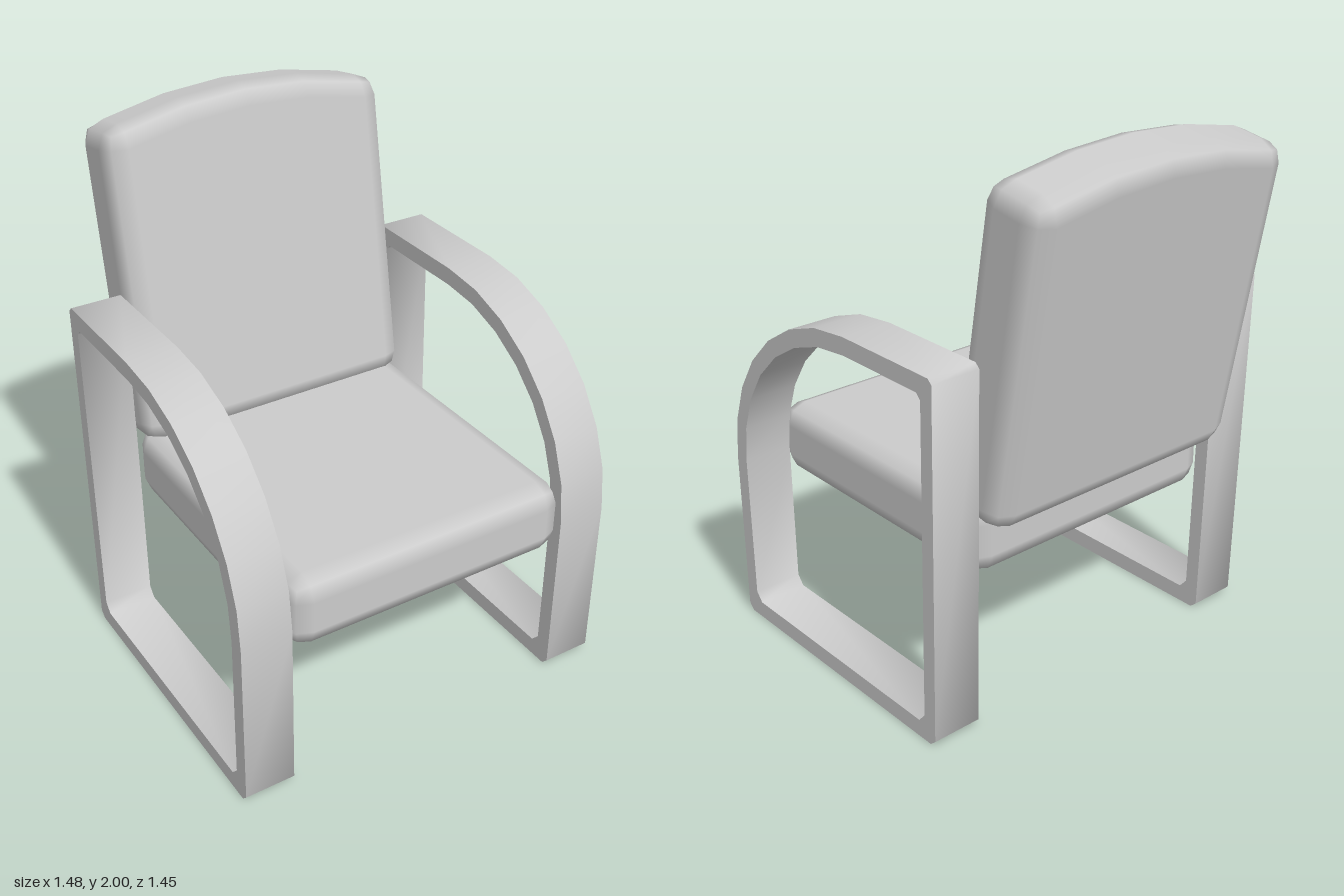
import * as THREE from 'three';
import { toCreasedNormals } from 'three/addons/utils/BufferGeometryUtils.js';

const material = new THREE.MeshStandardMaterial({ color: 0xcccccc });

// Padded block with rounded edges; crown lowers the top towards both sides.
function cushion(name, w, h, d, r, crown = 0) {
  const geo = new THREE.BoxGeometry(2, 2, 2, 6, 6, 6);
  const pos = geo.attributes.position, nor = geo.attributes.normal;
  // The inner two thirds of the grid span the flat core, the rest the rounding
  const inner = (t) => THREE.MathUtils.clamp(t * 1.5, -1, 1);
  const core = (t, size) => inner(t) * (size / 2 - r);
  const edge = (t) => Math.sign(t) * Math.tan(Math.max(0, Math.abs(t) * 3 - 2) * Math.PI / 4);
  const t = new THREE.Vector3(), p = new THREE.Vector3(), n = new THREE.Vector3();
  for (let i = 0; i < pos.count; i++) {
    t.fromBufferAttribute(pos, i);
    n.set(edge(t.x), edge(t.y), edge(t.z)).normalize();
    p.set(core(t.x, w), core(t.y, h), core(t.z, d));
    const lift = (inner(t.y) + 1) / 2;
    const slope = 2 * crown * p.x * lift;
    p.y -= crown * p.x * p.x * lift;
    p.addScaledVector(n, r);
    n.x += slope * n.y;
    n.normalize();
    pos.setXYZ(i, p.x, p.y, p.z);
    nor.setXYZ(i, n.x, n.y, n.z);
  }
  const mesh = new THREE.Mesh(geo, material);
  mesh.name = name;
  return mesh;
}

// Closed outline in (z, y), counter-clockwise: straight corners plus the quarter sweep at the front.
function loopPoints(corners, rz, ry) {
  const pts = corners.map(([z, y]) => new THREE.Vector2(z, y));
  for (let i = 0; i <= 7; i++) {
    const a = (i / 7) * Math.PI / 2;
    pts.push(new THREE.Vector2(rz * Math.sin(a), 0.66 + ry * Math.cos(a)));
  }
  return pts.reverse();
}

// Flat bent band serving as leg, runner and armrest
function armFrameGeometry(width) {
  const shape = new THREE.Shape(loopPoints(
    [[0.72, 0.025], [0.697, 0], [-0.405, 0], [-0.43, 0.022], [-0.457, 1.338], [-0.44, 1.355]], 0.72, 0.695));
  shape.holes.push(new THREE.Path(loopPoints(
    [[0.66, 0.1], [0.63, 0.065], [-0.345, 0.065], [-0.375, 0.1], [-0.4, 1.27], [-0.38, 1.29]], 0.66, 0.63)));
  const geo = new THREE.ExtrudeGeometry(shape, { depth: width, bevelEnabled: false });
  geo.translate(0, 0, -width / 2);
  geo.rotateY(-Math.PI / 2);
  return toCreasedNormals(geo, 1);
}

export function createModel() {
  const chair = new THREE.Group();
  chair.name = 'armchair';

  // Side frames
  const frameGeo = armFrameGeometry(0.188);
  for (const [name, side] of [['leftArmFrame', 1], ['rightArmFrame', -1]]) {
    const frame = new THREE.Mesh(frameGeo, material);
    frame.name = name;
    frame.position.x = side * 0.645;
    chair.add(frame);
  }

  // Seat cushion
  const seat = cushion('seat', 1.104, 0.272, 1.148, 0.078);
  seat.position.set(0, 0.69, 0.155);
  chair.add(seat);

  // Reclined backrest with a curved top
  const tilt = THREE.MathUtils.degToRad(10);
  const back = cushion('backrest', 1.104, 1.229, 0.268, 0.078, 0.266);
  const up = 1.4505, out = -0.252;
  back.rotation.x = -tilt;
  back.position.set(0, up * Math.cos(tilt) + out * Math.sin(tilt), out * Math.cos(tilt) - up * Math.sin(tilt));
  chair.add(back);

  return chair;
}
